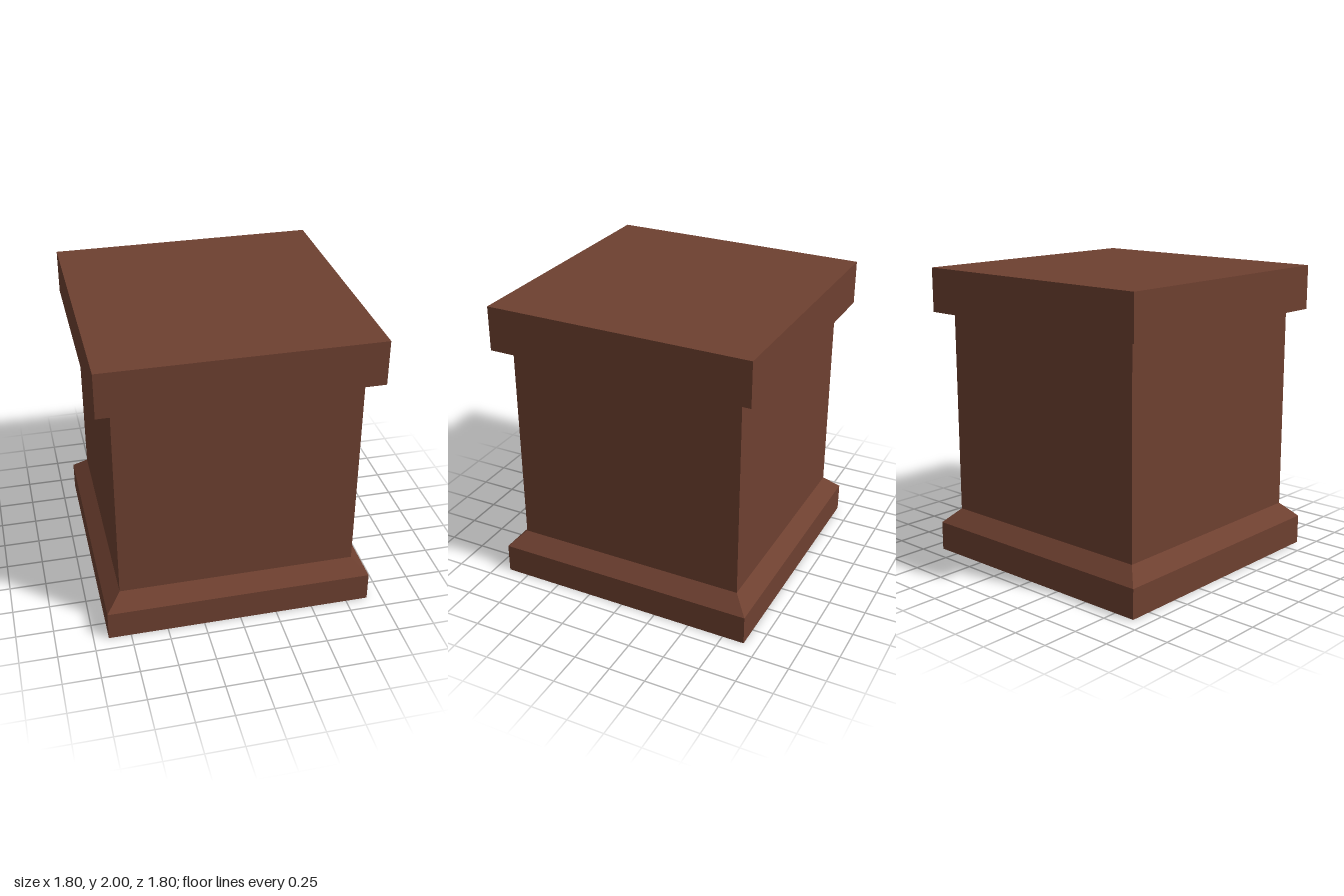
import * as THREE from 'three';

// Square shell: a [halfWidth, y] profile swept round four flat sides
function squareShell(name, profile, material) {
  const points = profile.map(([half, y]) => new THREE.Vector2(half * Math.SQRT2, y));
  const geometry = new THREE.LatheGeometry(points, 4, Math.PI / 4).toNonIndexed();
  geometry.computeVertexNormals();
  const mesh = new THREE.Mesh(geometry, material);
  mesh.name = name;
  return mesh;
}

export function createModel() {
  const brown = new THREE.MeshStandardMaterial({ color: 0x6e4030, side: THREE.DoubleSide });
  brown.name = 'reddish brown';

  const group = new THREE.Group();
  group.name = 'pedestal';

  // Hollow pedestal, open underneath
  group.add(
    squareShell('plinth', [[0.9, 0], [0.9, 0.2]], brown),
    squareShell('bevel', [[0.9, 0.2], [0.8, 0.3]], brown),
    squareShell('shaft', [[0.8, 0.3], [0.8, 1.7]], brown),
    // Overhanging cap: underside rim, sides and flat top
    squareShell('cap', [[0.8, 1.7], [0.9, 1.7], [0.9, 2], [0, 2]], brown),
  );
  return group;
}
